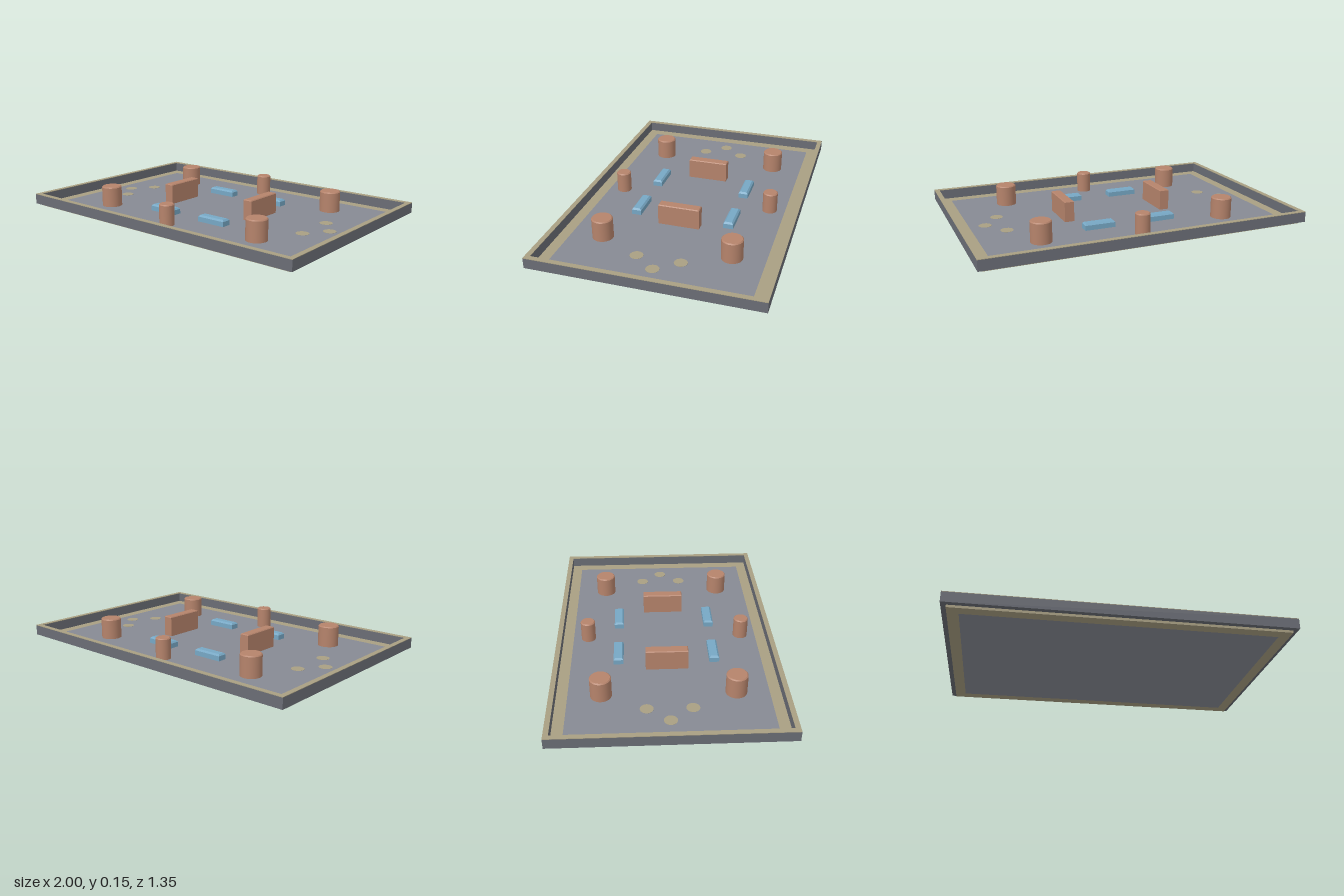
import * as THREE from 'three';

const mat = (color) => new THREE.MeshStandardMaterial({ color });
const TAN = mat(0xa89f82), GREY = mat(0x868a93), WALL = mat(0x6a6d75);
const COPPER = mat(0xb5836b), BLUE = mat(0x76a7c4);

const FLOOR = 0.017; // top of the floor
const TOP = 0.145;   // top of the pillars

export function createModel() {
  const group = new THREE.Group();

  const add = (name, geometry, material, x = 0, y = 0, z = 0) => {
    const mesh = new THREE.Mesh(geometry, material);
    mesh.name = name;
    mesh.position.set(x, y, z);
    group.add(mesh);
    return mesh;
  };
  const box = (name, material, w, y0, y1, d, x = 0, z = 0) =>
    add(name, new THREE.BoxGeometry(w, y1 - y0, d), material, x, (y0 + y1) / 2, z);

  // Block standing on y = 0 with its upper edges chamfered
  const chamferedBlock = (w, h, d, c) => {
    const g = new THREE.BoxGeometry(w, h, d, 1, 2, 1).toNonIndexed();
    const p = g.attributes.position;
    for (let i = 0; i < p.count; i++) {
      const y = p.getY(i);
      if (Math.abs(y) < 1e-6) p.setY(i, h / 2 - c);
      else if (y > 0) {
        p.setX(i, p.getX(i) - Math.sign(p.getX(i)) * c);
        p.setZ(i, p.getZ(i) - Math.sign(p.getZ(i)) * c);
      }
    }
    g.translate(0, h / 2, 0);
    g.computeVertexNormals();
    return g;
  };

  // Round pillar: straight side, chamfer ring and cap, each with its own normals
  const pillar = (name, r, x, z) => {
    const h = TOP - FLOOR, c = 0.006;
    const part = new THREE.Group();
    part.name = name;
    const side = new THREE.CylinderGeometry(r, r, h - c, 32, 1, true).translate(0, (h - c) / 2, 0);
    const cap = new THREE.CylinderGeometry(r - c, r, c, 32).translate(0, h - c / 2, 0);
    part.add(new THREE.Mesh(side, COPPER), new THREE.Mesh(cap, COPPER));
    part.position.set(x, FLOOR, z);
    group.add(part);
  };

  // Floor: tan border around a grey mat, seen from above and below
  const rect = (Type, a, b) => new Type([
    new THREE.Vector2(-a, -b), new THREE.Vector2(a, -b),
    new THREE.Vector2(a, b), new THREE.Vector2(-a, b)]);
  const border = rect(THREE.Shape, 0.97, 0.645);
  border.holes.push(rect(THREE.Path, 0.905, 0.58));
  const borderGeo = new THREE.ExtrudeGeometry(border, { depth: FLOOR, bevelEnabled: false });
  add('floorBorder', borderGeo.rotateX(-Math.PI / 2), TAN);
  box('floorMat', GREY, 1.81, 0, FLOOR, 1.16);

  // Perimeter walls with a thin tan trim on top
  for (const s of [-1, 1]) {
    for (const [name, m, y0, y1] of [['Wall', WALL, 0.015, 0.077], ['Trim', TAN, 0.077, 0.08]]) {
      box('long' + name, m, 2, y0, y1, 0.03, 0, s * 0.66);
      box('short' + name, m, 0.03, y0, y1, 1.29, s * 0.985, 0);
    }
  }

  for (const sx of [-1, 1]) {
    // Tall side barriers
    add('barrier', chamferedBlock(0.06, TOP - FLOOR, 0.255, 0.005), COPPER, sx * 0.32, FLOOR, 0);

    for (const sz of [-1, 1]) {
      pillar('cornerPillar', 0.0625, sx * 0.58, sz * 0.388);
      add('lowBlock', chamferedBlock(0.19, 0.04, 0.06, 0.01), BLUE, sx * 0.195, FLOOR, sz * 0.291);
    }

    // Floor markers, three at each end
    for (const [x, z] of [[0.71, -0.13], [0.81, 0], [0.71, 0.13]]) {
      add('floorMarker', new THREE.CylinderGeometry(0.039, 0.039, 0.002, 24), TAN, sx * x, FLOOR, z);
    }

    // Smaller pillars on the centre line
    pillar('centrePillar', 0.045, 0, sx * 0.485);
  }

  return group;
}
